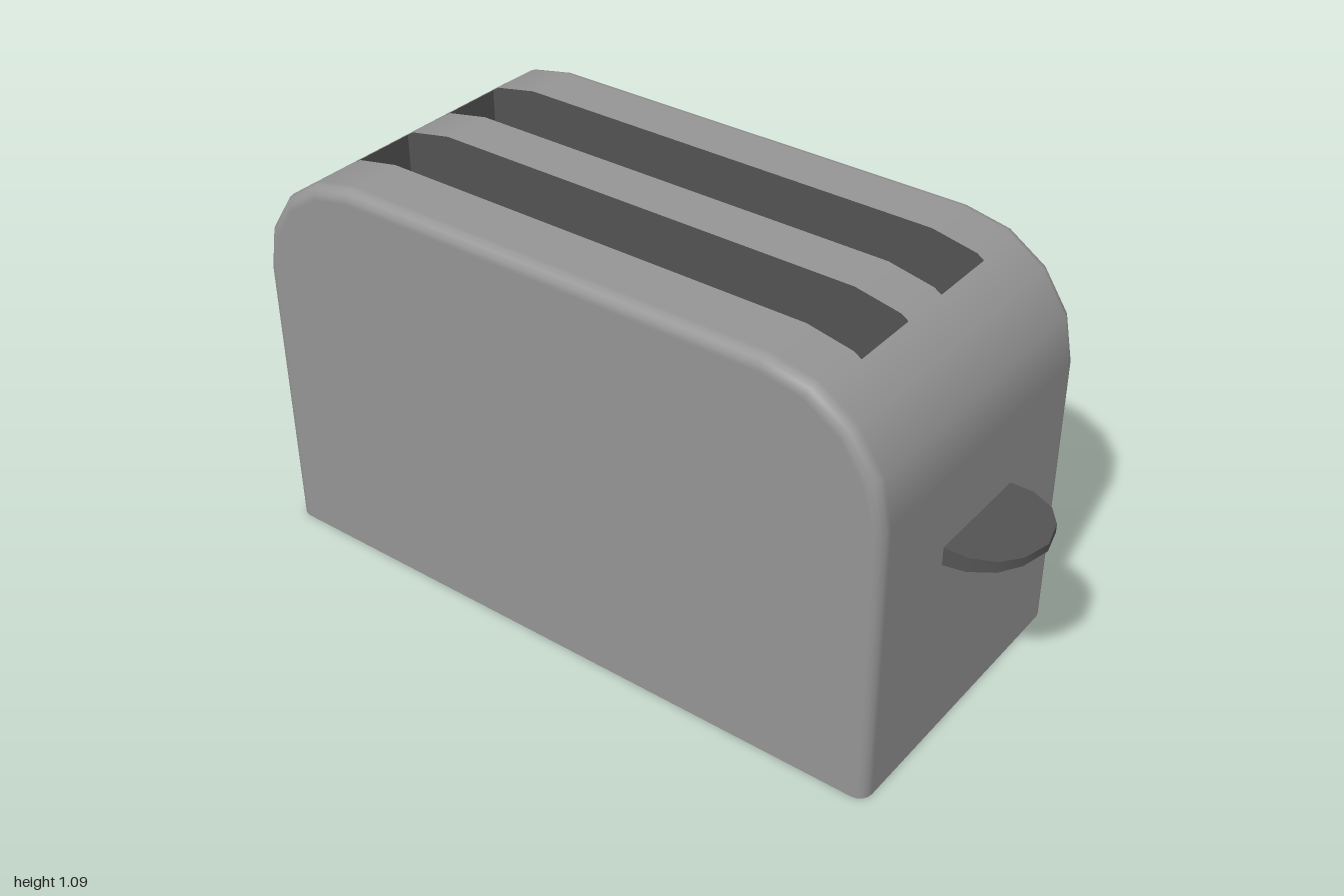
import * as THREE from 'three';
import { toCreasedNormals } from 'three/addons/utils/BufferGeometryUtils.js';

const CX = -0.09, HALF_W = 0.91, HALF_Z = 0.423, TOP = 1.085;
const CORNER = 0.315, EDGE = 0.035;
const SLOT_IN = 0.068, SLOT_OUT = 0.254, SLOT_HALF_X = 0.734, SLOT_FLOOR = 0.3;
const SLOT_START = 4;

// Right half of the arched profile: position and outward direction, bottom to top
function halfProfile() {
  const pts = [{ x: HALF_W, y: 0, nx: 1, ny: 0 }];
  for (let i = 0; i <= 4; i++) {
    const t = (i / 4) * Math.PI / 2, c = Math.cos(t), s = Math.sin(t);
    pts.push({ x: HALF_W - CORNER + CORNER * c, y: TOP - CORNER + CORNER * s, nx: c, ny: s });
  }
  // extra point on the shoulder where the slots end
  const a = pts[SLOT_START - 1], b = pts[SLOT_START], end = {};
  const k = (a.x - SLOT_HALF_X) / (a.x - b.x);
  for (const key of ['x', 'y', 'nx', 'ny']) end[key] = a[key] + (b[key] - a[key]) * k;
  pts.splice(SLOT_START, 0, end);
  return pts;
}

const half = halfProfile();
const profile = [...half, ...half.slice().reverse().map(p => ({ ...p, x: -p.x, nx: -p.nx }))];
const SLOT_END = profile.length - 1 - SLOT_START;

// Shell lofted along z with rounded front and back edges and two slot openings
function bodyGeometry() {
  const front = [{ z: SLOT_IN, a: 0 }, { z: SLOT_OUT, a: 0 }];
  for (let i = 0; i <= 4; i++) {
    const a = (i / 4) * Math.PI / 2;
    front.push({ z: HALF_Z - EDGE + EDGE * Math.sin(a), a });
  }
  const stations = [...front.slice().reverse().map(s => ({ z: -s.z, a: -s.a })), ...front];
  const n = profile.length, pos = [], nor = [], idx = [];
  for (const { z, a } of stations) {
    const inset = EDGE * (1 - Math.cos(a)), c = Math.cos(a);
    for (const p of profile) {
      pos.push(CX + p.x - p.nx * inset, p.y - p.ny * inset, z);
      const l = Math.hypot(p.nx, p.ny);
      nor.push(p.nx / l * c, p.ny / l * c, Math.sin(a));
    }
  }
  for (let k = 0; k < stations.length - 1; k++) {
    const mid = Math.abs(stations[k].z + stations[k + 1].z) / 2;
    const inSlot = mid > SLOT_IN && mid < SLOT_OUT;
    for (let i = 0; i < n - 1; i++) {
      if (inSlot && i >= SLOT_START && i < SLOT_END) continue;
      const a = k * n + i, b = a + 1, c = b + n, d = a + n;
      idx.push(a, b, c, a, c, d);
    }
  }
  // flat front and back faces
  const last = (stations.length - 1) * n;
  for (let i = 1; i < n - 1; i++) {
    idx.push(last, last + i, last + i + 1);
    idx.push(0, i + 1, i);
  }
  // flat underside, with its own corners so its edge stays sharp
  const base = pos.length / 3;
  stations.forEach(({ z, a }, k) => {
    const w = HALF_W - EDGE * (1 - Math.cos(a));
    pos.push(CX + w, 0, z, CX - w, 0, z);
    nor.push(0, -1, 0, 0, -1, 0);
    const r = base + 2 * k;
    if (k < stations.length - 1) idx.push(r, r + 2, r + 1, r + 1, r + 2, r + 3);
  });
  const g = new THREE.BufferGeometry();
  g.setAttribute('position', new THREE.Float32BufferAttribute(pos, 3));
  g.setAttribute('normal', new THREE.Float32BufferAttribute(nor, 3));
  g.setIndex(idx);
  return g;
}

// Open-topped pocket whose long walls follow the arched top
function makeSlot(zCentre, material) {
  const slot = new THREE.Group();
  const rim = profile.slice(SLOT_START, SLOT_END + 1);
  const x = SLOT_HALF_X, endY = rim[0].y, width = SLOT_OUT - SLOT_IN;
  const add = (name, geometry) => {
    const m = new THREE.Mesh(geometry, material);
    m.name = name;
    slot.add(m);
    return m;
  };
  const outline = new THREE.Shape([
    new THREE.Vector2(-x, SLOT_FLOOR), new THREE.Vector2(x, SLOT_FLOOR),
    ...rim.map(p => new THREE.Vector2(p.x, p.y)),
  ]);
  for (const side of [-1, 1]) {
    add('slotLongWall', new THREE.ShapeGeometry(outline)).position.z = side * width / 2;
    const end = add('slotEndWall', new THREE.PlaneGeometry(width, endY - SLOT_FLOOR));
    end.rotation.y = -side * Math.PI / 2;
    end.position.set(side * x, (endY + SLOT_FLOOR) / 2, 0);
  }
  const floor = add('slotFloor', new THREE.PlaneGeometry(2 * x, width));
  floor.rotation.x = -Math.PI / 2;
  floor.position.y = SLOT_FLOOR;
  slot.position.set(CX, 0, zCentre);
  return slot;
}

// Rounded tab, thick at the body and thinner at the tip
function leverGeometry() {
  const edge = [[0.815, 0.15], [0.88, 0.15], [0.942, 0.123], [0.98, 0.075], [1, 0]];
  const points = [...edge, ...edge.slice(0, -1).reverse().map(([x, z]) => [x, -z])];
  const shape = new THREE.Shape(points.map(([x, z]) => new THREE.Vector2(x, z)));
  const g = new THREE.ExtrudeGeometry(shape, { depth: 0.05, bevelEnabled: false });
  g.rotateX(Math.PI / 2);
  g.translate(0, 0.568, 0);
  const p = g.attributes.position;
  for (let i = 0; i < p.count; i++)
    if (p.getY(i) < 0.55) p.setY(i, 0.518 + 0.03 * (p.getX(i) - 0.82) / 0.18);
  return toCreasedNormals(g, 0.7);
}

export function createModel() {
  const model = new THREE.Group();
  model.name = 'toaster';
  const grey = new THREE.MeshStandardMaterial({ color: 0x959595 });
  const dark = new THREE.MeshStandardMaterial({ color: 0x535353 });
  const darkInside = new THREE.MeshStandardMaterial({ color: 0x535353, side: THREE.DoubleSide });

  const body = new THREE.Mesh(bodyGeometry(), grey);
  body.name = 'body';
  model.add(body);

  for (const side of [-1, 1]) {
    const slot = makeSlot(side * (SLOT_IN + SLOT_OUT) / 2, darkInside);
    slot.name = side > 0 ? 'frontSlot' : 'backSlot';
    model.add(slot);
  }

  const lever = new THREE.Mesh(leverGeometry(), dark);
  lever.name = 'lever';
  model.add(lever);
  return model;
}
